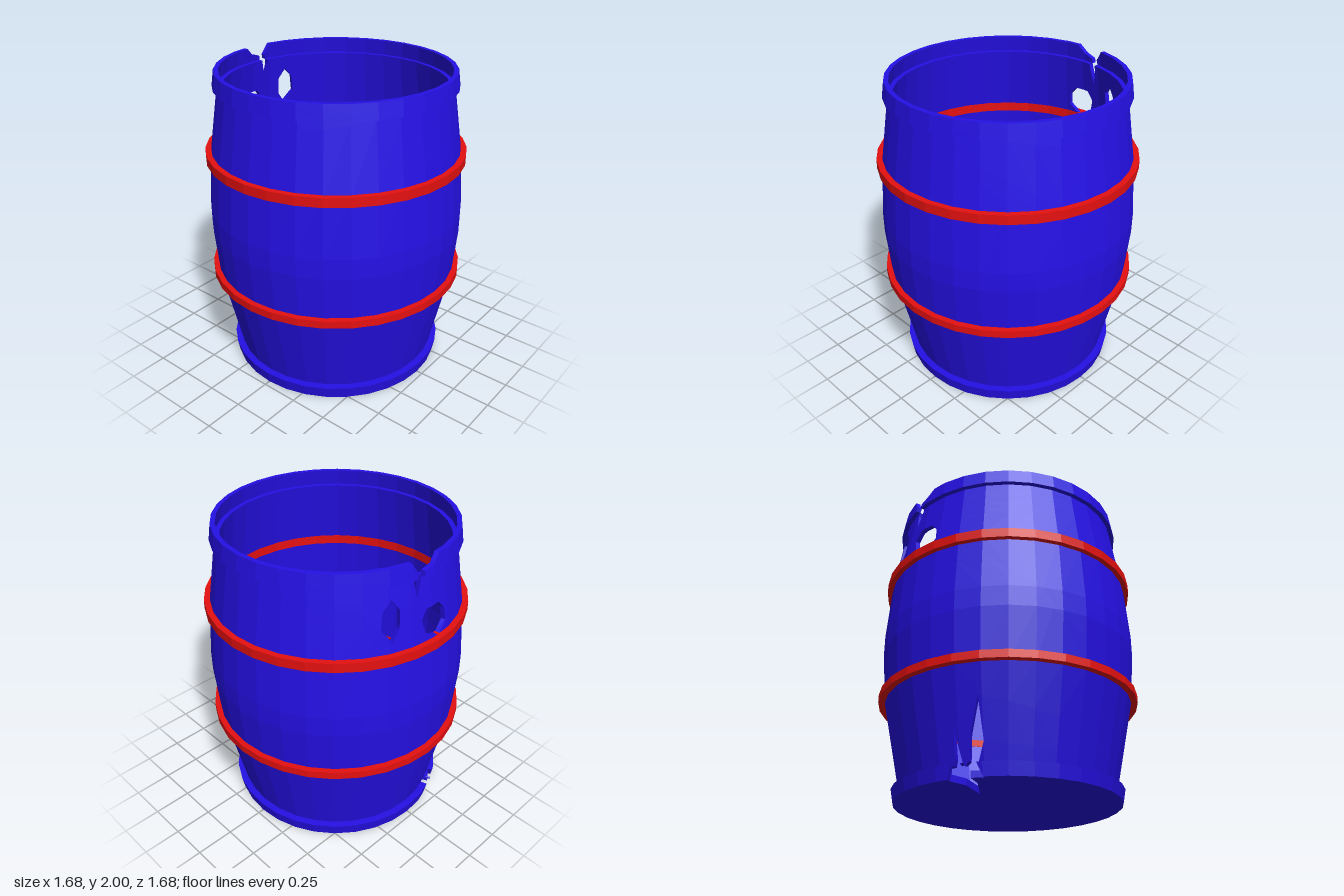
import * as THREE from 'three';

const SIDES = 32, STEP = 360 / SIDES, INSET = 0.03;
// wall segments: [y low, y high, radius low, radius high]
const WALL = [
  [0, 0.08, 0.71, 0.725],
  [0.08, 0.64, 0.68, 0.8],
  [0.64, 0.97, 0.8, 0.828],
  [0.97, 1.1, 0.828, 0.828],
  [1.1, 1.48, 0.828, 0.8],
  [1.48, 1.9, 0.8, 0.735],
  [1.9, 2, 0.765, 0.75],
];
const v2 = (list) => list.map(([a, y]) => new THREE.Vector2(a, y));

// unrolled wall outline: angle in degrees from the back (-z) toward +x, and height
const BOTTOM = v2([[-180, 0], [-34, 0], [-31, 0.08], [-34, 0.2], [-32, 0.45], [-28, 0.25], [-27, 0.1],
  [-24, 0.07], [-20, 0.29], [-20, 0.12], [-17, 0], [180, 0]]);
const TOP = v2([[180, 2], [12, 2], [8.5, 1.93], [9.5, 1.87], [8, 1.77], [6, 1.86], [5, 1.93], [0, 1.95], [-4, 2], [-180, 2]]);
const HOLES = [
  v2([[21, 1.81], [17, 1.74], [17.5, 1.63], [21, 1.56], [26, 1.64], [25, 1.75]]),
  v2([[3, 1.69], [-5, 1.69], [-9, 1.63], [-9.5, 1.55], [-4, 1.49], [4, 1.53], [6, 1.63]]),
];

const segmentAt = (y) => WALL.find((s) => y <= s[1]) || WALL[WALL.length - 1];

// point at a given vertex radius, kept on the flat facet of the polygonal barrel
function onFacet(angle, y, radius) {
  const rad = THREE.MathUtils.degToRad(angle);
  const local = angle - (Math.floor(angle / STEP) + 0.5) * STEP;
  const r = radius * Math.cos(Math.PI / SIDES) / Math.cos(THREE.MathUtils.degToRad(local));
  return [r * Math.sin(rad), y, -r * Math.cos(rad)];
}
function wallPoint(p, seg, inset) {
  const t = (p.y - seg[0]) / (seg[1] - seg[0]);
  return onFacet(p.x, p.y, seg[2] + (seg[3] - seg[2]) * t - inset);
}

// cut convex polygons into pieces along the line axis = value
function slice(polys, axis, value) {
  const out = [];
  for (const poly of polys) {
    for (const sign of [1, -1]) {
      const piece = [];
      poly.forEach((a, i) => {
        const b = poly[(i + 1) % poly.length];
        const da = sign * (a[axis] - value), db = sign * (b[axis] - value);
        if (da >= 0) piece.push(a);
        if (da * db < 0) piece.push(a.clone().lerp(b, da / (da - db)));
      });
      if (piece.length > 2 && piece.some((p) => Math.abs(p[axis] - value) > 1e-6)) out.push(piece);
    }
  }
  return out;
}

// split a segment wherever it crosses a facet edge or wall level
function splitEdge(a, b) {
  const ts = [0, 1];
  const cross = (p, q, value) => {
    const t = (value - p) / (q - p);
    if (t > 1e-6 && t < 1 - 1e-6) ts.push(t);
  };
  for (let k = -SIDES / 2; k <= SIDES / 2; k++) if (a.x !== b.x) cross(a.x, b.x, k * STEP);
  for (const s of WALL) if (a.y !== b.y) cross(a.y, b.y, s[1]);
  return ts.sort((m, n) => m - n).map((t) => a.clone().lerp(b, t));
}

function mesh(name, positions, material) {
  const g = new THREE.BufferGeometry();
  g.setAttribute('position', new THREE.Float32BufferAttribute(positions, 3));
  g.computeVertexNormals();
  const m = new THREE.Mesh(g, material);
  m.name = name;
  return m;
}
const quad = (out, a, b, c, d) => out.push(...a, ...b, ...c, ...a, ...c, ...d);

export function createModel() {
  const group = new THREE.Group();
  group.name = 'barrel';
  const blue = new THREE.MeshStandardMaterial({ color: 0x2510e6, flatShading: true, side: THREE.DoubleSide });
  const red = new THREE.MeshStandardMaterial({ color: 0xe61010, flatShading: true });

  // wall skins, cut along facets and levels, then rolled up
  const outline = [...BOTTOM, ...TOP];
  const all = [...outline, ...HOLES.flat()];
  let pieces = THREE.ShapeUtils.triangulateShape(outline, HOLES).map((f) => f.map((i) => all[i]));
  for (let k = 1 - SIDES / 2; k < SIDES / 2; k++) pieces = slice(pieces, 'x', k * STEP);
  for (const s of WALL.slice(0, -1)) pieces = slice(pieces, 'y', s[1]);
  const outer = [], inner = [];
  for (const poly of pieces) {
    if (THREE.ShapeUtils.area(poly) < 0) poly.reverse();
    const seg = segmentAt(poly.reduce((s, p) => s + p.y, 0) / poly.length);
    // nudge angles toward the piece centre so every corner uses one facet
    for (let i = 1; i < poly.length - 1; i++) {
      const tri = [poly[0], poly[i], poly[i + 1]];
      for (const p of [tri[0], tri[2], tri[1]]) outer.push(...wallPoint(p, seg, 0));
      for (const p of tri) inner.push(...wallPoint(p, seg, INSET));
    }
  }
  group.add(mesh('outerWall', outer, blue), mesh('innerWall', inner, blue));

  // thickness along the rims, cracks and holes
  const edges = [];
  for (const [path, closed] of [[BOTTOM, false], [TOP, false], ...HOLES.map((h) => [h, true])]) {
    const pts = closed ? [...path, path[0]] : path;
    for (let i = 0; i < pts.length - 1; i++) {
      const cut = splitEdge(pts[i], pts[i + 1]);
      for (let j = 0; j < cut.length - 1; j++) {
        const [a, b] = [cut[j], cut[j + 1]], seg = segmentAt((a.y + b.y) / 2);
        quad(edges, wallPoint(a, seg, 0), wallPoint(b, seg, 0), wallPoint(b, seg, INSET), wallPoint(a, seg, INSET));
      }
    }
  }
  group.add(mesh('wallEdges', edges, blue));

  // ledges where the end rims step out from the staves, open at the cracks
  const ledges = [];
  for (const [y, r0, r1, gapA, gapB] of [[0.08, 0.68, 0.725, -31, -19], [1.9, 0.735, 0.765, 5.2, 9]]) {
    for (const [from, to] of [[-180, gapA], [gapB, 180]]) {
      const cut = splitEdge(new THREE.Vector2(from, y), new THREE.Vector2(to, y));
      for (let j = 0; j < cut.length - 1; j++) {
        for (const inset of [0, INSET]) {
          const at = (k, r) => onFacet(cut[k].x, y, r - inset);
          quad(ledges, at(j, r0), at(j + 1, r0), at(j + 1, r1), at(j, r1));
        }
      }
    }
  }
  group.add(mesh('rimLedges', ledges, blue));

  // floor disc with a crack running in from the back edge
  const rim = [];
  const onRim = (deg) => {
    const [x, , z] = onFacet(deg, 0, 0.7);
    return new THREE.Vector2(x, -z);
  };
  for (let a = -11.25; a < 325; a += STEP) rim.push(onRim(a));
  const crack = v2([[-0.28, 0.52], [-0.12, 0.35], [-0.2, 0.53]]);
  const floorShape = new THREE.Shape([...rim, onRim(-28), ...crack, onRim(-16.5)]);
  const floorGeo = new THREE.ExtrudeGeometry(floorShape, { depth: 0.04, bevelEnabled: false });
  floorGeo.rotateX(-Math.PI / 2);
  const floor = new THREE.Mesh(floorGeo, blue);
  floor.name = 'floor';
  group.add(floor);

  // hoops, passing through the wall
  for (const [name, lo, hi, r] of [['lowerHoop', 0.635, 0.685, 0.84], ['upperHoop', 1.435, 1.495, 0.835]]) {
    const profile = v2([[0.765, lo], [r, lo], [r, hi], [0.765, hi], [0.765, lo]]);
    const hoop = new THREE.Mesh(new THREE.LatheGeometry(profile, SIDES), red);
    hoop.name = name;
    group.add(hoop);
  }
  return group;
}
